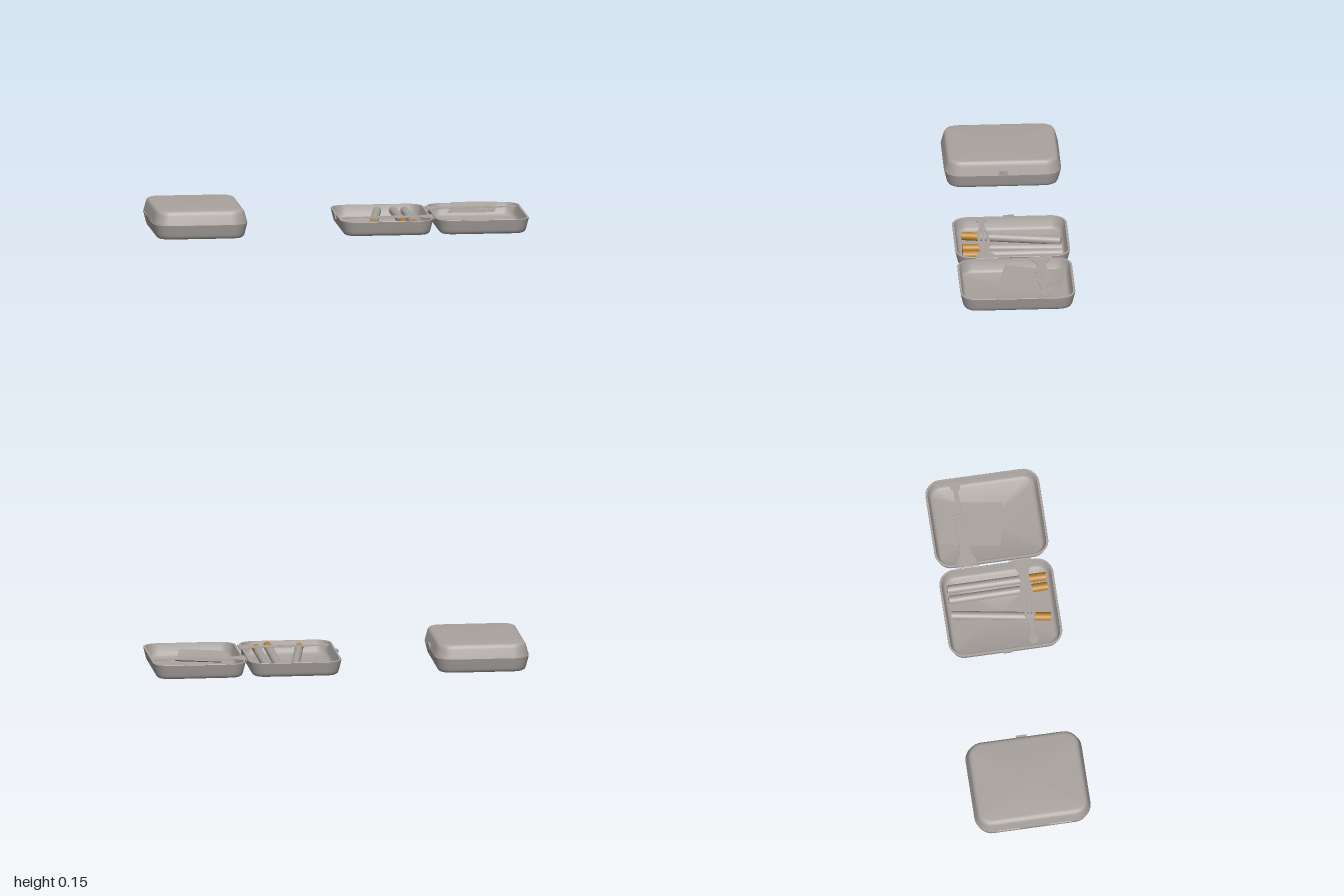
import * as THREE from 'three';
import { toCreasedNormals, mergeVertices } from 'three/addons/utils/BufferGeometryUtils.js';

const metal = new THREE.MeshStandardMaterial({ color: 0xa9a39f, side: THREE.DoubleSide });
metal.name = 'warm grey';
const amber = new THREE.MeshStandardMaterial({ color: 0xb8822e });
amber.name = 'amber filter';

const RIM = 0.08;

function add(parent, name, geometry, material = metal, x = 0, y = 0, z = 0) {
  const mesh = new THREE.Mesh(geometry, material);
  mesh.name = name;
  mesh.position.set(x, y, z);
  parent.add(mesh);
  return mesh;
}

// Rounded-rectangle rings joined along a profile of [inset, y]; both ends are capped
function ringBody(halfX, halfZ, radius, profile) {
  const seg = 8, n = 4 * (seg + 1), pos = [], index = [];
  for (const [inset, y] of profile) {
    const r = Math.max(radius - inset, 0.02);
    for (let c = 0; c < 4; c++) {
      const cx = (c === 0 || c === 3 ? 1 : -1) * (halfX - inset - r);
      const cz = (c < 2 ? 1 : -1) * (halfZ - inset - r);
      for (let k = 0; k <= seg; k++) {
        const a = (c + k / seg) * Math.PI / 2;
        pos.push(cx + r * Math.cos(a), y, cz + r * Math.sin(a));
      }
    }
  }
  for (let i = 0; i < profile.length - 1; i++) {
    for (let j = 0; j < n; j++) {
      const a = i * n + j, b = i * n + (j + 1) % n;
      index.push(a, a + n, b, b, a + n, b + n);
    }
  }
  const last = (profile.length - 1) * n, p0 = pos.length / 3;
  pos.push(0, profile[0][1], 0, 0, profile[profile.length - 1][1], 0);
  for (let j = 0; j < n; j++) {
    const k = (j + 1) % n;
    index.push(p0, j, k, p0 + 1, last + k, last + j);
  }
  const g = new THREE.BufferGeometry();
  g.setAttribute('position', new THREE.Float32BufferAttribute(pos, 3));
  g.setIndex(index);
  return toCreasedNormals(mergeVertices(g), 0.7);
}

// Outside of one half, from its flat face to the rim
const outer = [[0.042, 0], [0.03, 0.002], [0.021, 0.007], [0.016, 0.016], [0.013, 0.026], [0, RIM - 0.002]];
const inner = [[0.001, RIM], [0.011, RIM], [0.022, 0.03], [0.028, 0.019], [0.04, 0.014]];

// Flat spring clip: wide at the hinge, slotted in the middle, round tip
function clipGeometry() {
  const edge = [[0, 0.05], [0.03, 0.05], [0.07, 0.028], [0.12, 0.024], [0.17, 0.034],
    [0.31, 0.03], [0.36, 0.015], [0.425, 0.012], [0.435, 0.023], [0.452, 0.028], [0.47, 0.02], [0.478, 0.004]];
  const s = new THREE.Shape();
  edge.forEach(([u, w], i) => (i ? s.lineTo(u, w) : s.moveTo(u, w)));
  [...edge].reverse().forEach(([u, w]) => s.lineTo(u, -w));
  s.closePath();
  for (const side of [-1, 1]) {
    const h = new THREE.Path();
    h.moveTo(0.2, side * 0.008);
    h.lineTo(0.33, side * 0.006);
    h.lineTo(0.33, side * 0.011);
    h.lineTo(0.2, side * 0.016);
    h.closePath();
    s.holes.push(h);
  }
  return new THREE.ExtrudeGeometry(s, { depth: 0.003, bevelEnabled: false }).rotateX(-Math.PI / 2);
}

// Cigarette along z, filter toward +z
function cigarette(parent, x, y, z, turn, tilt) {
  const g = new THREE.Group();
  g.name = 'cigarette';
  const r = 0.022, paper = 0.43, filter = 0.095, length = paper + filter;
  const rod = (len) => new THREE.CylinderGeometry(r, r, len, 20).rotateX(Math.PI / 2);
  add(g, 'cigarettePaper', rod(paper), metal, 0, 0, (paper - length) / 2);
  add(g, 'cigaretteFilter', rod(filter), amber, 0, 0, (length - filter) / 2);
  add(g, 'tobaccoEnd', new THREE.CircleGeometry(r * 0.85, 20).rotateY(Math.PI), amber, 0, 0, -length / 2 - 0.001);
  g.position.set(x, y, z);
  g.rotation.set(tilt, turn, 0, 'YXZ');
  parent.add(g);
}

// Clasp stud on a case side
function clasp(parent, x, y, side) {
  const g = new THREE.Group();
  g.name = 'clasp';
  add(g, 'claspBase', new THREE.BoxGeometry(0.01, 0.014, 0.046), metal, 0, 0, 0);
  add(g, 'claspStem', new THREE.BoxGeometry(0.01, 0.01, 0.034), metal, side * 0.002, 0.011, 0);
  add(g, 'claspThumbPlate', new THREE.BoxGeometry(0.012, 0.006, 0.056), metal, side * 0.003, 0.018, 0);
  g.position.set(x, y, 0);
  parent.add(g);
}

export function createModel() {
  const model = new THREE.Group();
  model.name = 'cigaretteCases';

  // Closed case
  const closed = new THREE.Group();
  closed.name = 'closedCase';
  closed.position.x = -0.747;
  model.add(closed);
  const lid = [...outer].reverse().map(([i, y]) => [i, 0.152 - y * 0.95 + (y === 0 ? 0 : 0.0005)]);
  add(closed, 'closedBase', ringBody(0.25, 0.309, 0.09, [...outer, [0.006, RIM]]));
  add(closed, 'closedLid', ringBody(0.25, 0.309, 0.09, [[0.006, 0.078], ...lid]));
  clasp(closed, 0.248, 0.085, 1);
  const barrel = new THREE.CylinderGeometry(0.005, 0.005, 0.12, 10).rotateX(Math.PI / 2);
  for (const z of [-0.14, 0.14]) add(closed, 'closedHinge', barrel, metal, -0.248, 0.079, z);

  // Open case: two trays either side of the hinge
  const open = new THREE.Group();
  open.name = 'openCase';
  model.add(open);
  const tray = ringBody(0.246, 0.303, 0.085, [...outer, ...inner]);
  add(open, 'baseTray', tray, metal, 0.242, 0, 0);
  add(open, 'lidTray', tray, metal, 0.75, 0, 0);
  clasp(open, -0.003, 0.063, -1);
  for (const z of [-0.14, 0.14]) add(open, 'openHinge', barrel, metal, 0.496, 0.078, z);

  // Spring clips
  const clip = clipGeometry();
  add(open, 'baseClip', clip, metal, 0.494, 0.079, 0.147).rotation.y = Math.PI;
  add(open, 'lidClip', clip, metal, 0.498, 0.079, -0.14);

  // Cigarettes
  cigarette(open, 0.206, 0.052, -0.003, -0.16, 0);
  cigarette(open, 0.333, 0.056, 0, 0, -0.02);
  cigarette(open, 0.393, 0.05, 0, 0, 0);

  // Curled paper sheet tucked beneath the lid clip
  const sheet = new THREE.PlaneGeometry(0.243, 0.33, 8, 20).rotateX(-Math.PI / 2);
  const p = sheet.attributes.position;
  for (let i = 0; i < p.count; i++) {
    const s = p.getZ(i) / 0.165, t = p.getX(i) / 0.1215;
    p.setY(i, 0.07 + (s < -0.3 ? 0.045 * (s + 0.3) ** 2 : 0.009 * (s + 0.3) ** 2) + 0.003 * t * Math.abs(s));
  }
  sheet.computeVertexNormals();
  add(open, 'paperSheet', sheet, metal, 0.731, 0, -0.09).rotation.y = -0.18;

  return model;
}
